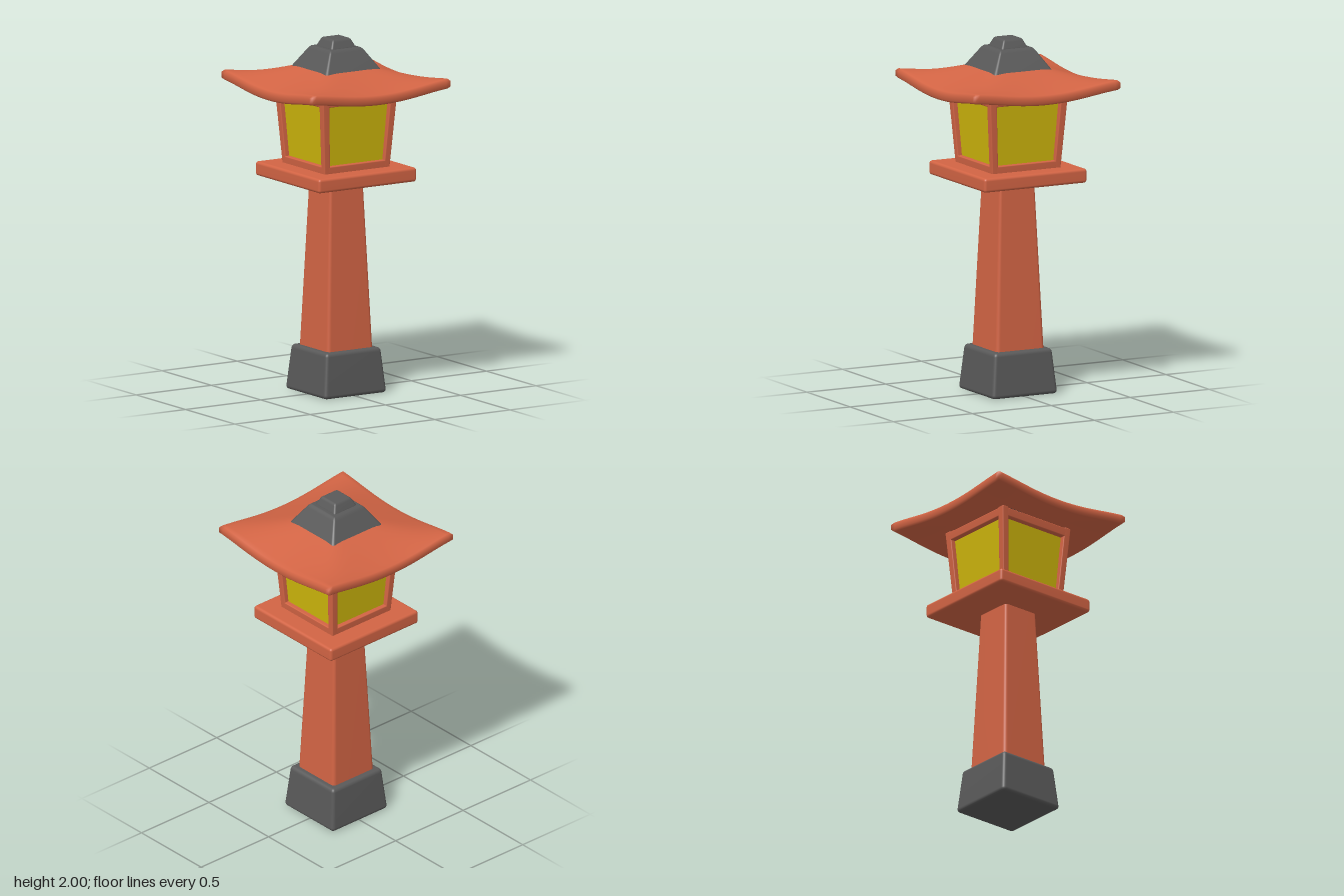
import * as THREE from 'three';
import { mergeVertices } from 'three/addons/utils/BufferGeometryUtils.js';
import { RoundedBoxGeometry } from 'three/addons/geometries/RoundedBoxGeometry.js';

const mat = (name, color) => {
  const m = new THREE.MeshStandardMaterial({ color });
  m.name = name;
  return m;
};

// Move every vertex by a rule, then weld and smooth the normals
function reshape(geometry, rule) {
  geometry.deleteAttribute('normal');
  geometry.deleteAttribute('uv');
  const g = mergeVertices(geometry, 1e-5);
  g.clearGroups();
  const p = g.attributes.position;
  const v = new THREE.Vector3();
  for (let i = 0; i < p.count; i++) {
    v.fromBufferAttribute(p, i);
    rule(v);
    p.setXYZ(i, v.x, v.y, v.z);
  }
  g.computeVertexNormals();
  return g;
}

// Rule that scales x and z about the central axis from s0 at y0 to s1 at y1
const taper = (y0, y1, s0, s1) => (v) => {
  const s = s0 + (s1 - s0) * (v.y - y0) / (y1 - y0);
  v.x *= s;
  v.z *= s;
};

// Square rounded block with half width h0 at y0 and h1 at y1
function block(y0, y1, h0, h1, radius) {
  const g = new RoundedBoxGeometry(2 * h0, y1 - y0, 2 * h0, 3, radius);
  g.translate(0, (y0 + y1) / 2, 0);
  return reshape(g, taper(y0, y1, 1, h1 / h0));
}

// Swept roof: edges sag in the middle, corners lift, the slope climbs to the centre
function roofGeometry() {
  const half = 0.46, thick = 0.055, bevel = 0.012;
  const g = new THREE.BoxGeometry(2, 3, 2, 32, 3, 32);
  return reshape(g, (v) => {
    const u = Math.abs(v.x), w = Math.abs(v.z);
    const m = Math.pow(u ** 6 + w ** 6, 1 / 6);
    const top = 1.745 + 0.15 * (1 - m) + 0.063 * (u * w) ** 2;
    const outer = Math.abs(v.y) > 1;
    const s = outer ? half - bevel : half;
    const offset = outer ? thick / 2 : thick / 2 - bevel;
    v.set(v.x * s, top - thick / 2 + Math.sign(v.y) * offset, v.z * s);
  });
}

export function createModel() {
  const orange = mat('orangePaint', 0xd26444);
  const grey = mat('darkStone', 0x595959);
  const yellow = mat('yellowGlass', 0xcfb70c);

  const model = new THREE.Group();
  model.name = 'lantern';
  const add = (name, geometry, material, parent = model) => {
    const mesh = new THREE.Mesh(geometry, material);
    mesh.name = name;
    parent.add(mesh);
  };

  // Foot, post and platform
  add('base', block(0, 0.255, 0.207, 0.182, 0.022), grey);
  add('post', block(0.22, 1.22, 0.152, 0.11, 0.022), orange);
  add('platform', block(1.2, 1.28, 0.325, 0.325, 0.016), orange);

  // Lamp house: posts and rails share one outward lean
  const lean = taper(1.28, 1.7, 0.94, 1.075);
  const frame = new THREE.Group();
  frame.name = 'lampFrame';
  model.add(frame);
  const bar = (name, w, h, d, x, y, z, turn) => {
    const g = new RoundedBoxGeometry(w, h, d, 2, 0.006);
    g.translate(x, y, z).rotateY(turn);
    add(name, reshape(g, lean), orange, frame);
  };
  for (let i = 0; i < 4; i++) {
    const turn = i * Math.PI / 2;
    bar('cornerPost', 0.04, 0.45, 0.04, 0.21, 1.49, 0.21, turn);
    bar('bottomRail', 0.4, 0.05, 0.04, 0, 1.295, 0.21, turn);
    bar('topRail', 0.4, 0.05, 0.04, 0, 1.685, 0.21, turn);
  }

  // Glass set back behind the frame
  const glass = new THREE.BoxGeometry(0.404, 0.4, 0.404).translate(0, 1.49, 0);
  add('glass', reshape(glass, lean).toNonIndexed(), yellow);
  const pane = model.getObjectByName('glass').geometry;
  pane.computeVertexNormals();

  // Roof and stacked caps
  add('roof', roofGeometry(), orange);
  add('lowerCap', block(1.815, 1.95, 0.192, 0.105, 0.018), grey);
  add('upperCap', block(1.94, 2.0, 0.087, 0.058, 0.014), grey);

  return model;
}
